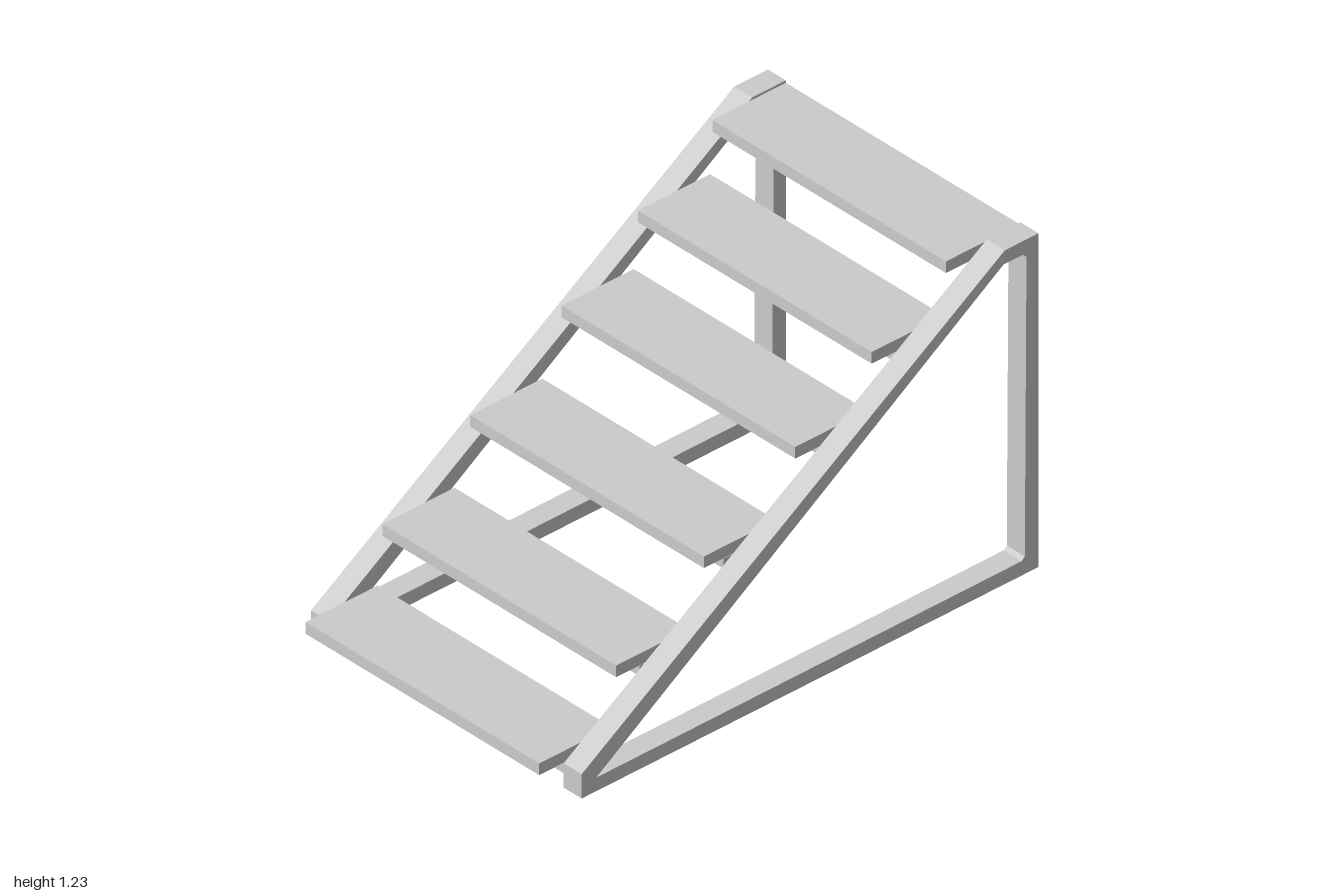
import * as THREE from 'three';

const material = new THREE.MeshStandardMaterial({ color: 0xcccccc, flatShading: true });
const INNER = 0.533, OUTER = 0.615;

const points = (list) => list.map(([z, y]) => new THREE.Vector2(z, y));

// Box given by its minimum and maximum on each axis
function block(name, x0, x1, y0, y1, z0, z1) {
  const mesh = new THREE.Mesh(new THREE.BoxGeometry(x1 - x0, y1 - y0, z1 - z0), material);
  mesh.position.set((x0 + x1) / 2, (y0 + y1) / 2, (z0 + z1) / 2);
  mesh.name = name;
  return mesh;
}

// Triangular frame: base rail, rear post and sloping stringer, drawn as (z, y)
function frameGeometry() {
  const shape = new THREE.Shape(points([
    [0.9, 0], [0.9, 0.09], [-0.86, 1.23], [-1, 1.23], [-1, 0],
  ]));
  shape.holes.push(new THREE.Path(points([
    [0.84, 0.05], [-0.93, 0.053], [-0.943, 0.065], [-0.95, 1.165], [-0.937, 1.18], [-0.855, 1.18],
  ])));
  const geometry = new THREE.ExtrudeGeometry(shape, { depth: OUTER - INNER, bevelEnabled: false });
  return geometry.rotateY(-Math.PI / 2);
}

export function createModel() {
  const model = new THREE.Group();
  model.name = 'openStairs';

  // Side frames
  const geometry = frameGeometry();
  for (const [name, x] of [['leftFrame', OUTER], ['rightFrame', -INNER]]) {
    const frame = new THREE.Mesh(geometry, material);
    frame.name = name;
    frame.position.x = x;
    model.add(frame);
  }

  // Treads: front z, back z, underside y, cleat back z, cleat inner x
  const treads = [
    [1.0, 0.7, 0.09, 0.8, 0.317],
    [0.68, 0.38, 0.307, 0.485, 0.317],
    [0.315, 0.015, 0.545, 0.135, 0.317],
    [-0.065, -0.365, 0.778, -0.27, 0.32],
    [-0.383, -0.683, 0.985, -0.58, 0.322],
    [-0.692, -0.998, 1.18, -0.948, 0.385],
  ];
  treads.forEach(([front, back, y, cleatBack, cleatX], i) => {
    const step = new THREE.Group();
    step.name = `step${i + 1}`;
    step.add(block('tread', -0.531, 0.531, y, y + 0.043, back, front));
    // Support cleats under both ends
    step.add(block('leftCleat', cleatX, INNER, y - 0.037, y, cleatBack, cleatBack + 0.1));
    step.add(block('rightCleat', -INNER, -cleatX, y - 0.037, y, cleatBack, cleatBack + 0.1));
    model.add(step);
  });

  return model;
}
